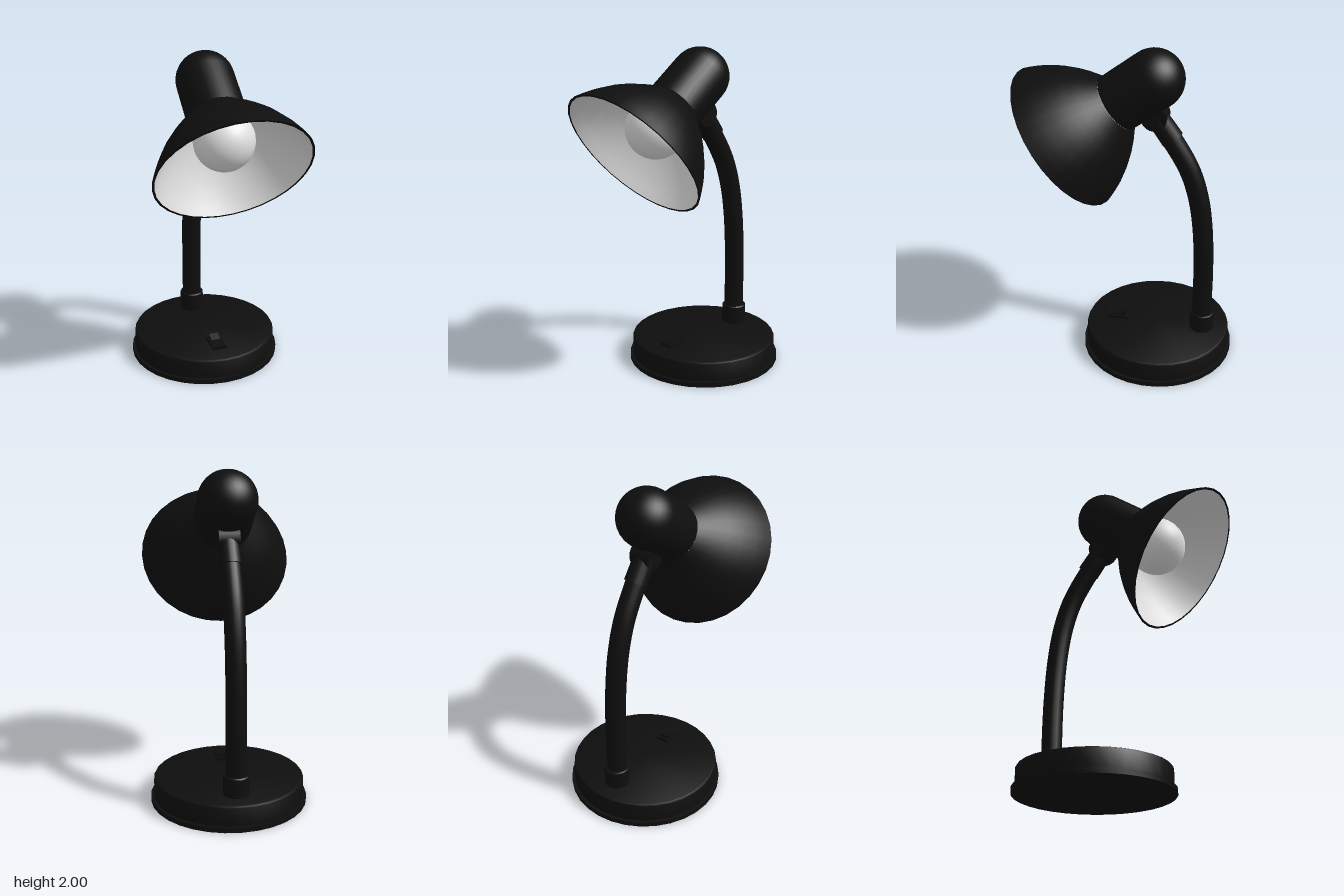
import * as THREE from 'three';
import { toCreasedNormals } from 'three/addons/utils/BufferGeometryUtils.js';

const black = new THREE.MeshStandardMaterial({ name: 'black enamel', color: 0x0e0e0e });
const white = new THREE.MeshStandardMaterial({ name: 'white lining', color: 0xe0e0e0 });
const glass = new THREE.MeshStandardMaterial({ name: 'bulb glass', color: 0xe2e2e2 });

function add(parent, name, geometry, material, x = 0, y = 0, z = 0) {
  const mesh = new THREE.Mesh(geometry, material);
  mesh.name = name;
  mesh.position.set(x, y, z);
  parent.add(mesh);
  return mesh;
}

// Turned part from [radius, height] pairs, with crisp edges kept
function turned(points, segments = 32) {
  const profile = points.map(([r, y]) => new THREE.Vector2(r, y));
  return toCreasedNormals(new THREE.LatheGeometry(profile, segments), 0.6);
}

// Arc of a circle in profile, as [radius, height] pairs
function arc(radius, centre, from, to, steps) {
  return Array.from({ length: steps + 1 }, (_, i) => {
    const a = from + (to - from) * i / steps;
    return [Math.max(0, radius * Math.cos(a)), centre + radius * Math.sin(a)];
  });
}

export function createModel() {
  const lamp = new THREE.Group();
  lamp.name = 'deskLamp';

  // Round base with a foot lip and softened top edge
  add(lamp, 'base', turned([
    [0, 0], [0.48, 0], [0.48, 0.03], [0.46, 0.03],
    [0.46, 0.142], [0.455, 0.151], [0.445, 0.155], [0, 0.155],
  ]), black, 0, 0, -0.19);

  // Rocker switch: plate and a wedge-shaped rocker
  add(lamp, 'switchPlate', new THREE.BoxGeometry(0.09, 0.026, 0.145), black, 0, 0.163, 0.073);
  const side = new THREE.Shape();
  side.moveTo(-0.125, 0.17);
  side.lineTo(-0.015, 0.17);
  side.lineTo(-0.015, 0.202);
  side.lineTo(-0.065, 0.183);
  side.lineTo(-0.125, 0.179);
  side.closePath();
  const rocker = new THREE.ExtrudeGeometry(side, { depth: 0.06, bevelEnabled: false });
  rocker.translate(0, 0, -0.03).rotateY(Math.PI / 2);
  add(lamp, 'switchRocker', rocker, black);

  // Neck rising from its collar and bending forward
  add(lamp, 'neckCollar', turned([
    [0, 0.15], [0.077, 0.15], [0.077, 0.27], [0.072, 0.277], [0, 0.277],
  ], 24), black, 0, 0, -0.478);
  const path = new THREE.CatmullRomCurve3([
    [0.2, -0.475], [0.6, -0.474], [0.89, -0.457], [1.1, -0.423],
    [1.28, -0.363], [1.47, -0.25], [1.56, -0.185],
  ].map(([y, z]) => new THREE.Vector3(0, y, z)));
  add(lamp, 'neck', new THREE.TubeGeometry(path, 36, 0.062, 20), black);

  // Hinge joining the neck to the head
  const from = new THREE.Vector3(0, 1.465, -0.257);
  const to = new THREE.Vector3(0, 1.585, -0.172);
  const sleeve = add(lamp, 'hingeSleeve', new THREE.CylinderGeometry(0.066, 0.069, from.distanceTo(to), 20), black);
  sleeve.position.lerpVectors(from, to, 0.5);
  sleeve.quaternion.setFromUnitVectors(new THREE.Vector3(0, 1, 0), to.clone().sub(from).normalize());
  const pivot = add(lamp, 'hingePivot', new THREE.CylinderGeometry(0.075, 0.075, 0.125, 20), black, 0, 1.605, -0.155);
  pivot.rotation.z = Math.PI / 2;

  // Tilted head: its local y axis runs from the shade's mouth to the cap
  const head = new THREE.Group();
  head.name = 'head';
  head.position.set(0, 1.425, 0.392);
  head.rotation.x = -Math.atan2(0.8, 0.6);
  lamp.add(head);

  const shade = [[0.469, 0], [0.447, 0.05], [0.419, 0.107], [0.364, 0.195],
    [0.315, 0.257], [0.261, 0.315], [0.176, 0.395]];
  add(head, 'shade', turned(shade), black);
  const rim = add(head, 'shadeRim', new THREE.RingGeometry(0.455, 0.469, 32, 1), black);
  rim.rotation.x = Math.PI / 2;
  const lining = shade.map(([r, y]) => [r - 0.014, y]).reverse();
  add(head, 'shadeLining', turned([[0, 0.395], ...lining]), white);

  // Cylindrical lamp housing with a domed end
  add(head, 'housing', turned([
    [0, 0.397], [0.177, 0.397], ...arc(0.177, 0.67, 0, Math.PI / 2, 10),
  ]), black);

  // Bulb with a neck narrowing into the housing
  add(head, 'bulb', turned([
    ...arc(0.18, 0.222, -Math.PI / 2, 0.55, 16), [0.125, 0.35], [0.1, 0.395],
  ]), glass);

  return lamp;
}
